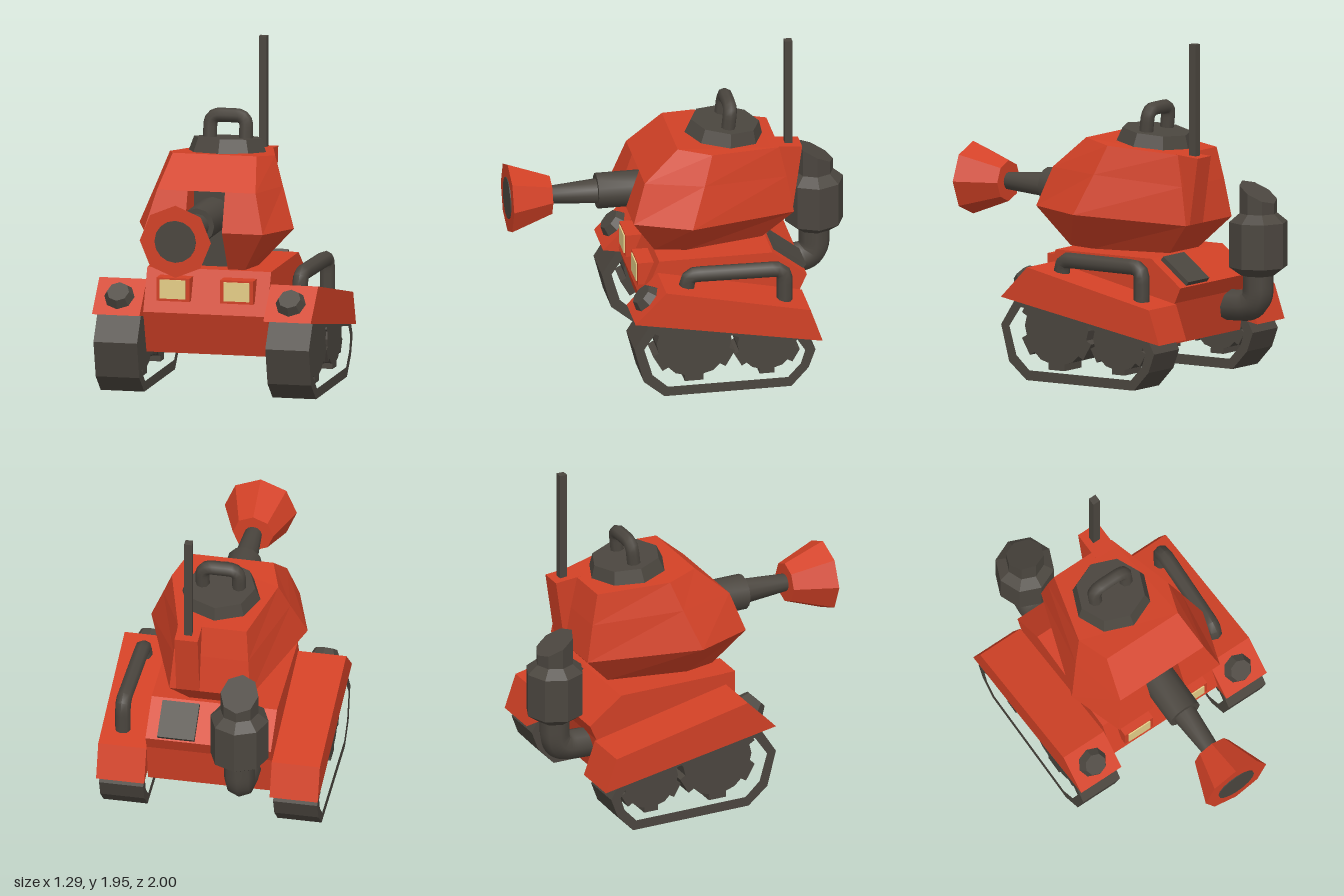
import * as THREE from 'three';
import { toCreasedNormals } from 'three/addons/utils/BufferGeometryUtils.js';

const red = new THREE.MeshStandardMaterial({ color: 0xd24126 });
red.name = 'red paint';
const dark = new THREE.MeshStandardMaterial({ color: 0x4b463f });
dark.name = 'dark metal';
const cream = new THREE.MeshStandardMaterial({ color: 0xe6cf88 });
cream.name = 'cream lamp';

const V = (x, y, z) => new THREE.Vector3(x, y, z);

export function createModel() {
  const model = new THREE.Group();

  // crease: angle below which neighbouring faces are smoothed (0 = faceted)
  const add = (name, geo, mat, parent = model, crease = 0.02) => {
    const mesh = new THREE.Mesh(toCreasedNormals(geo, crease), mat);
    mesh.name = name;
    parent.add(mesh);
    return mesh;
  };

  // Side profile of [z, y] points extruded from x0 to x1
  const prism = (pts, x0, x1, hole) => {
    const shape = new THREE.Shape(pts.map(p => new THREE.Vector2(...p)));
    if (hole) shape.holes.push(new THREE.Path(hole.map(p => new THREE.Vector2(...p))));
    return new THREE.ExtrudeGeometry(shape, { depth: x1 - x0, bevelEnabled: false })
      .rotateY(-Math.PI / 2).translate(x1, 0, 0);
  };

  // Convex polygons as triangle fans, wound counter-clockwise
  const polygons = list => {
    const pos = [];
    for (const p of list)
      for (let i = 1; i < p.length - 1; i++)
        for (const v of [p[0], p[i], p[i + 1]]) pos.push(v.x, v.y, v.z);
    const g = new THREE.BufferGeometry();
    g.setAttribute('position', new THREE.Float32BufferAttribute(pos, 3));
    g.computeVertexNormals();
    return g;
  };

  // Pipe along straight runs with rounded corners, closed at both ends
  const pipe = (name, pts, radius, bend, parent = model) => {
    const path = new THREE.CurvePath();
    let from = pts[0];
    for (let i = 1; i < pts.length - 1; i++) {
      const a = pts[i].clone().add(pts[i - 1].clone().sub(pts[i]).setLength(bend));
      const b = pts[i].clone().add(pts[i + 1].clone().sub(pts[i]).setLength(bend));
      path.add(new THREE.LineCurve3(from, a));
      path.add(new THREE.QuadraticBezierCurve3(a, pts[i], b));
      from = b;
    }
    path.add(new THREE.LineCurve3(from, pts[pts.length - 1]));
    add(name, new THREE.TubeGeometry(path, 24, radius, 8), dark, parent, 0.9);
  };

  // ---- Hull ----
  add('hull', prism([[0.2, 0.235], [0.28, 0.48], [0.18, 0.725], [-0.48, 0.725],
    [-0.68, 0.57], [-0.64, 0.48], [-0.6, 0.235]], -0.365, 0.365), red);
  const vent = add('rearVent', new THREE.BoxGeometry(0.215, 0.04, 0.22), dark);
  vent.position.set(0.188, 0.65, -0.59);
  vent.rotation.x = -0.66;

  // ---- Parts mirrored on both sides ----
  const gear = (r, R, z, y) => {
    const pts = [];
    for (let i = 0; i < 6; i++) {
      const a = -Math.PI / 2 + i * Math.PI / 3;
      for (const [d, q] of [[-0.26, r], [-0.22, R], [0.22, R], [0.26, r], [0.52, r * 1.03]])
        pts.push([z + q * Math.cos(a + d), y + q * Math.sin(a + d)]);
    }
    return pts;
  };
  const belt = [[0.28, 0.46], [0.375, 0.31], [0.32, 0.1], [0.2, 0], [-0.54, 0],
    [-0.64, 0.11], [-0.68, 0.22], [-0.62, 0.33]];
  const beltHole = [[0.24, 0.42], [0.318, 0.305], [0.27, 0.14], [0.18, 0.058],
    [-0.52, 0.058], [-0.595, 0.14], [-0.62, 0.22], [-0.575, 0.29]];

  for (const s of [1, -1]) {
    const side = s > 0 ? 'left' : 'right';
    const span = (a, b) => (s > 0 ? [a, b] : [-b, -a]);
    add(side + 'Fender', prism([[0.37, 0.47], [0.19, 0.655], [-0.65, 0.475],
      [-0.72, 0.275]], ...span(0.365, 0.645)), red);
    add(side + 'Track', prism(belt, ...span(0.378, 0.635), beltHole), dark);
    add(side + 'FrontWheel', prism(gear(0.212, 0.25, 0.02, 0.31), ...span(0.42, 0.595)), dark);
    add(side + 'RearWheel', prism(gear(0.168, 0.2, -0.405, 0.27), ...span(0.42, 0.595)), dark);

    // Domed cap on the sloping fender front
    const cap = add(side + 'FenderCap', new THREE.CylinderGeometry(0.065, 0.1, 0.07, 8), dark);
    cap.position.set(s * 0.505, 0.573, 0.288);
    cap.rotation.x = Math.PI / 4;

    // Headlamp hood with a cream lens
    add(side + 'LampHood', prism([[0.29, 0.55], [0.29, 0.685], [0.15, 0.685], [0.15, 0.55]],
      ...span(0.09, 0.285)), red);
    const lens = add(side + 'LampLens', new THREE.BoxGeometry(0.15, 0.11, 0.008), cream);
    lens.position.set(s * 0.188, 0.62, 0.293);
  }

  // Rail over the left fender
  pipe('fenderRail', [V(0.5, 0.57, 0.045), V(0.505, 0.695, 0.045),
    V(0.525, 0.695, -0.52), V(0.525, 0.5, -0.52)], 0.046, 0.06);

  // ---- Turret: rings of half outlines, front to back, mirrored ----
  const turret = new THREE.Group();
  turret.name = 'turret';
  model.add(turret);
  const rings = [
    [V(0.21, 0.73, 0.18), V(0.25, 0.73, 0), V(0.15, 0.73, -0.46)],
    [V(0.35, 0.965, 0.325), V(0.455, 0.95, 0), V(0.235, 0.91, -0.63)],
    [V(0.29, 1.19, 0.25), V(0.37, 1.18, -0.085), V(0.217, 1.13, -0.59)],
    [V(0.247, 1.37, 0.05), V(0.31, 1.345, -0.14), V(0.2, 1.31, -0.55)],
  ].map(h => [...h, ...h.map(p => V(-p.x, p.y, p.z)).reverse()]);
  const n = 0.11, back = 0.1; // gun slot half width and depth
  const slot = (p, x) => V(x, p.y, p.z);
  const faces = [rings[3], [...rings[0]].reverse()];
  for (let k = 0; k < 3; k++) {
    const lo = rings[k], up = rings[k + 1];
    for (let i = 0; i < 5; i++) faces.push([lo[i], lo[i + 1], up[i + 1], up[i]]);
    if (k === 2) faces.push([lo[5], lo[0], up[0], up[5]]);
    else faces.push([lo[5], slot(lo[0], -n), slot(up[0], -n), up[5]],
      [slot(lo[0], n), lo[0], up[0], slot(up[0], n)]);
  }
  const wall = x => [slot(rings[1][0], x), slot(rings[0][0], x), V(x, 0.73, back),
    V(x, 1.19, back), slot(rings[2][0], x)];
  faces.push(wall(-n), wall(n).reverse(),
    [V(-n, 1.19, 0.25), V(-n, 1.19, back), V(n, 1.19, back), V(n, 1.19, 0.25)]);
  add('turretBody', polygons(faces), red, turret);
  add('gunSlotBack', polygons([[V(-n, 0.73, back), V(n, 0.73, back),
    V(n, 1.19, back), V(-n, 1.19, back)]]), dark, turret);

  // Antenna and its corner block
  add('antennaBlock', prism([[-0.5, 1.315], [-0.685, 1.3], [-0.63, 0.91], [-0.5, 0.91]],
    0.06, 0.195), red, turret);
  add('antenna', new THREE.BoxGeometry(0.045, 0.67, 0.045).translate(0.125, 1.615, -0.615),
    dark, turret);

  // Hatch with handle, tilted with the roof
  const hatch = new THREE.Group();
  hatch.name = 'hatch';
  hatch.position.set(0, 1.365, -0.265);
  hatch.rotation.x = -0.11;
  turret.add(hatch);
  add('hatchLid', new THREE.CylinderGeometry(0.2, 0.235, 0.1, 8), dark, hatch);
  pipe('hatchHandle', [V(-0.106, 0, 0), V(-0.106, 0.177, 0), V(0.106, 0.177, 0),
    V(0.106, 0, 0)], 0.041, 0.06, hatch);

  // ---- Gun ----
  const gun = (name, r0, r1, z0, z1, sides, mat) =>
    add(name, new THREE.CylinderGeometry(r1, r0, z1 - z0, sides).rotateX(Math.PI / 2)
      .translate(0, 1.03, (z0 + z1) / 2), mat, turret, sides > 8 ? 0.6 : 0.02);
  gun('gunSleeve', 0.103, 0.103, 0.08, 0.48, 12, dark);
  gun('gunBarrel', 0.072, 0.05, 0.48, 0.76, 12, dark);
  gun('muzzleFlare', 0.118, 0.21, 0.75, 0.995, 8, red);
  gun('muzzleBore', 0.122, 0.122, 0.99, 1, 16, dark);

  // ---- Exhaust ----
  const exhaust = new THREE.Group();
  exhaust.name = 'exhaust';
  exhaust.position.set(-0.21, 0, -0.83);
  model.add(exhaust);
  pipe('exhaustElbow', [V(0, 0.4, 0.25), V(0, 0.41, 0), V(0, 0.62, 0)], 0.09, 0.1, exhaust);
  add('exhaustDrum', new THREE.LatheGeometry([[0, 0.59], [0.1, 0.59], [0.17, 0.64],
    [0.17, 0.9], [0.11, 0.95], [0, 0.95]].map(p => new THREE.Vector2(...p)), 8), dark, exhaust);
  // Outlet with a slanted cut
  const outlet = new THREE.CylinderGeometry(0.11, 0.11, 0.2, 8).translate(0, 0.97, 0);
  const p = outlet.attributes.position;
  for (let i = 0; i < p.count; i++)
    if (p.getY(i) > 1) p.setY(i, 1.07 + p.getZ(i) * 0.53);
  add('exhaustOutlet', outlet, dark, exhaust);

  return model;
}
